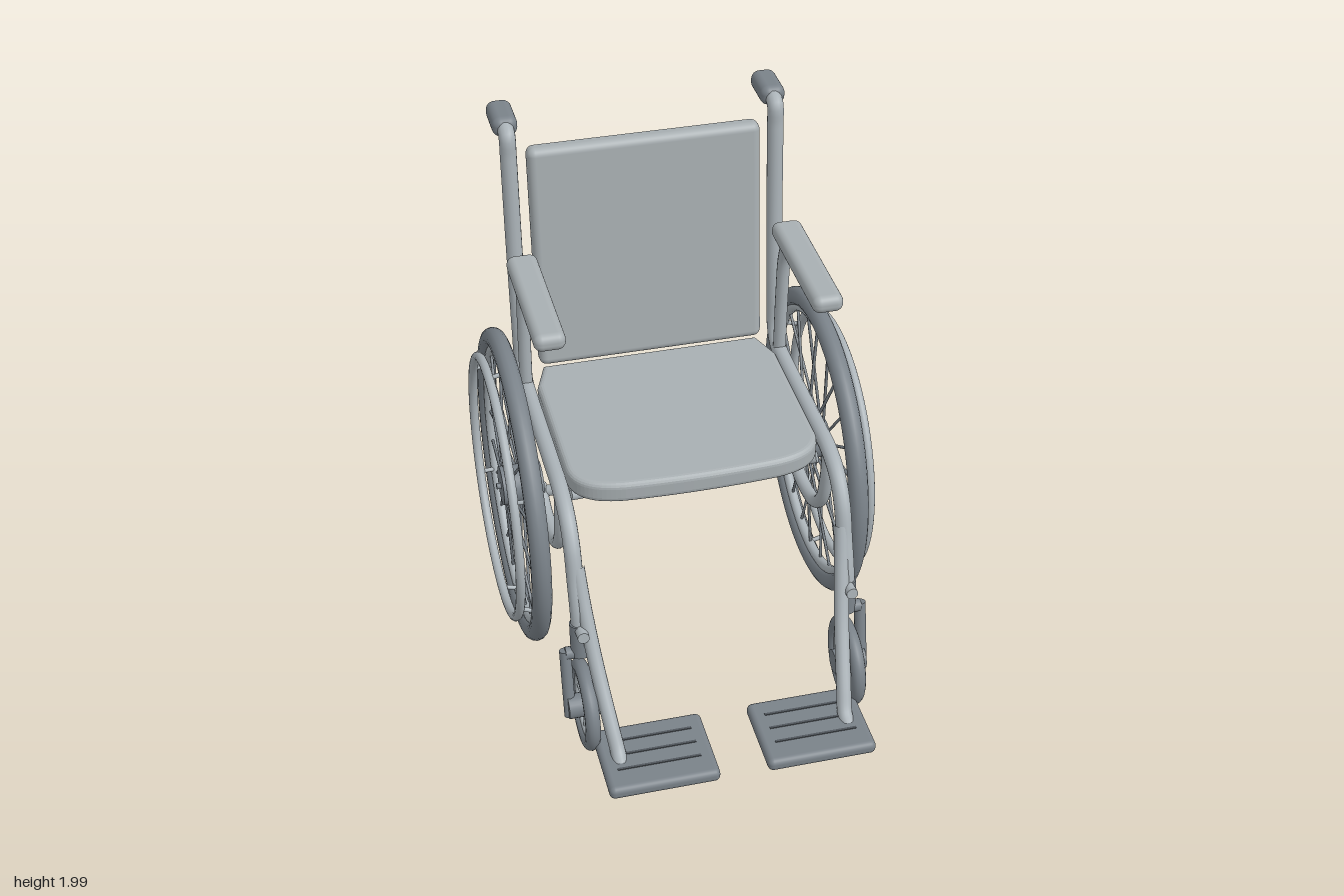
import * as THREE from 'three';
import { RoundedBoxGeometry } from 'three/addons/geometries/RoundedBoxGeometry.js';

const material = (name, color) => Object.assign(new THREE.MeshStandardMaterial({ color }), { name });
const V = (x, y, z) => new THREE.Vector3(x, y, z);

export function createModel() {
  const frame = material('frame grey', 0xaab2b7);
  const cushion = material('upholstery grey', 0xa8afb2);
  const rubber = material('rubber grey', 0x7a8289);
  const groove = material('groove grey', 0x51575d);
  const model = new THREE.Group();
  model.name = 'wheelchair';

  function add(parent, name, geometry, mat, x = 0, y = 0, z = 0) {
    const mesh = new THREE.Mesh(geometry, mat);
    mesh.name = name;
    mesh.position.set(x, y, z);
    parent.add(mesh);
    return mesh;
  }
  // Straight round bar between two points
  function bar(parent, name, a, b, r, mat, sides = 16) {
    const d = b.clone().sub(a);
    const mesh = add(parent, name, new THREE.CylinderGeometry(r, r, d.length(), sides), mat);
    mesh.position.copy(a).add(b).multiplyScalar(0.5);
    mesh.quaternion.setFromUnitVectors(V(0, 1, 0), d.normalize());
    return mesh;
  }
  // Bent tube through [x, y, z] points on side s
  function tube(parent, name, s, points, r, mat = frame) {
    const curve = new THREE.CatmullRomCurve3(points.map(p => V(p[0] * s, p[1], p[2])), false, 'centripetal');
    return add(parent, name, new THREE.TubeGeometry(curve, points.length * 8, r, 14), mat);
  }
  // Ring standing in the yz plane
  function ring(parent, name, x, radius, r, mat) {
    return add(parent, name, new THREE.TorusGeometry(radius, r, 14, 72).rotateY(Math.PI / 2), mat, x);
  }
  const polar = (x, r, a) => V(x, Math.sin(a) * r, Math.cos(a) * r);

  // Seat cushion with rounded front corners
  const outline = new THREE.Shape();
  outline.moveTo(-0.41, 0.53);
  outline.lineTo(0.41, 0.53);
  outline.lineTo(0.45, 0.42);
  outline.lineTo(0.45, -0.1);
  outline.bezierCurveTo(0.45, -0.2, 0.37, -0.23, 0.28, -0.24);
  outline.quadraticCurveTo(0, -0.26, -0.28, -0.24);
  outline.bezierCurveTo(-0.37, -0.23, -0.45, -0.2, -0.45, -0.1);
  outline.lineTo(-0.45, 0.42);
  outline.closePath();
  const seat = new THREE.ExtrudeGeometry(outline, {
    depth: 0.04, bevelEnabled: true, bevelThickness: 0.022, bevelSize: 0.022, bevelSegments: 4, curveSegments: 16,
  }).rotateX(-Math.PI / 2);
  add(model, 'seat', seat, cushion, 0, 0.914, 0);

  // Leaning back rest
  add(model, 'backRest', new RoundedBoxGeometry(0.88, 0.905, 0.078, 4, 0.03), cushion, 0, 1.438, -0.59)
    .rotation.x = -0.08;

  // Folding cross brace
  for (const s of [-1, 1])
    bar(model, 'crossBrace', V(0.47 * s, 0.88, 0.15), V(-0.48 * s, 0.6, -0.25), 0.022, frame);

  for (const s of [-1, 1]) {
    const side = new THREE.Group();
    side.name = s > 0 ? 'leftSide' : 'rightSide';
    model.add(side);
    const X = 0.505;

    // Push handle, back post, seat rail and front leg in one bent tube
    tube(side, 'mainFrame', s, [
      [X, 1.958, -0.72], [X, 1.958, -0.67], [X, 1.94, -0.632], [X, 1.86, -0.625], [X, 1.5, -0.605],
      [X, 1.15, -0.575], [X, 1.0, -0.555], [X, 0.945, -0.51], [X, 0.935, -0.42], [X, 0.935, 0],
      [X, 0.93, 0.18], [X, 0.89, 0.29], [X, 0.81, 0.36], [X, 0.68, 0.405], [X, 0.58, 0.44], [X, 0.51, 0.455],
    ], 0.031);
    add(side, 'handleGrip', new RoundedBoxGeometry(0.094, 0.076, 0.18, 4, 0.032), rubber, X * s, 1.96, -0.738);

    // Lower tube curving back to the axle
    tube(side, 'lowerTube', s, [
      [X, 0.92, 0.18], [X, 0.8, 0.17], [X, 0.67, 0.13], [X, 0.59, 0.05], [X, 0.56, -0.06], [X, 0.565, -0.18], [X, 0.61, -0.28],
    ], 0.026);

    // Arm rest
    tube(side, 'armSupport', s, [
      [X, 1.5, -0.36], [X, 1.47, -0.41], [X, 1.38, -0.455], [X, 1.2, -0.475], [X, 0.95, -0.485],
    ], 0.025);
    add(side, 'armRest', new RoundedBoxGeometry(0.115, 0.068, 0.575, 4, 0.03), cushion, X * s, 1.515, -0.175);

    // Foot rest with grooved plate
    tube(side, 'footTube', s, [
      [0.495, 0.74, 0.39], [0.485, 0.6, 0.445], [0.465, 0.4, 0.54], [0.44, 0.2, 0.675], [0.43, 0.125, 0.73], [0.43, 0.1, 0.77],
    ], 0.028);
    add(side, 'footPlate', new RoundedBoxGeometry(0.41, 0.052, 0.325, 3, 0.022), rubber, 0.294 * s, 0.095, 0.748);
    for (const z of [0.665, 0.737, 0.81])
      add(side, 'footPlateGroove', new THREE.BoxGeometry(0.31, 0.004, 0.01), groove, 0.295 * s, 0.122, z);

    // Caster stem, bracket and fork
    bar(side, 'casterBracket', V(X * s, 0.51, 0.44), V(X * s, 0.52, 0.53), 0.022, frame);
    bar(side, 'casterStem', V(X * s, 0.53, 0.452), V(X * s, 0.39, 0.46), 0.037, rubber);
    bar(side, 'casterForkTop', V(X * s, 0.4, 0.46), V(0.562 * s, 0.4, 0.46), 0.024, rubber);
    bar(side, 'casterFork', V(0.562 * s, 0.41, 0.455), V(0.562 * s, 0.14, 0.512), 0.022, rubber);

    // Caster wheel
    const caster = new THREE.Group();
    caster.name = 'casterWheel';
    caster.position.set(X * s, 0.18, 0.508);
    side.add(caster);
    ring(caster, 'casterTire', 0, 0.146, 0.028, rubber);
    ring(caster, 'casterRim', 0, 0.12, 0.014, frame);
    bar(caster, 'casterHub', V(-0.055 * s, 0, 0), V(0.065 * s, 0, 0), 0.046, rubber, 24);
    for (let i = 0; i < 8; i++) {
      const a = i * Math.PI / 4;
      bar(caster, 'casterSpoke', polar(0, 0.03, a), polar(0, 0.12, a), 0.008, frame, 8);
    }

    // Large drive wheel
    const wheel = new THREE.Group();
    wheel.name = 'driveWheel';
    wheel.position.set(0.605 * s, 0.615, -0.303);
    side.add(wheel);
    ring(wheel, 'tire', 0, 0.572, 0.038, rubber);
    ring(wheel, 'rim', 0, 0.53, 0.02, frame);
    ring(wheel, 'pushRim', 0.067 * s, 0.506, 0.018, frame);
    bar(wheel, 'hub', V(-0.11 * s, 0, 0), V(0.048 * s, 0, 0), 0.076, rubber, 32);
    bar(wheel, 'axleCap', V(0.04 * s, 0, 0), V(0.065 * s, 0, 0), 0.012, rubber);
    for (let i = 0; i < 24; i++) {
      const a = (i + 0.1) * Math.PI / 12;
      bar(wheel, 'spoke', polar((i % 2 ? 0.03 : -0.03) * s, 0.06, a), polar(0, 0.53, a), 0.006, rubber, 6);
    }
    for (let i = 0; i < 6; i++) {
      const a = (i + 0.5) * Math.PI / 3;
      bar(wheel, 'pushRimPeg', polar(0, 0.525, a), polar(0.067 * s, 0.506, a), 0.009, frame, 8);
    }
  }
  return model;
}
